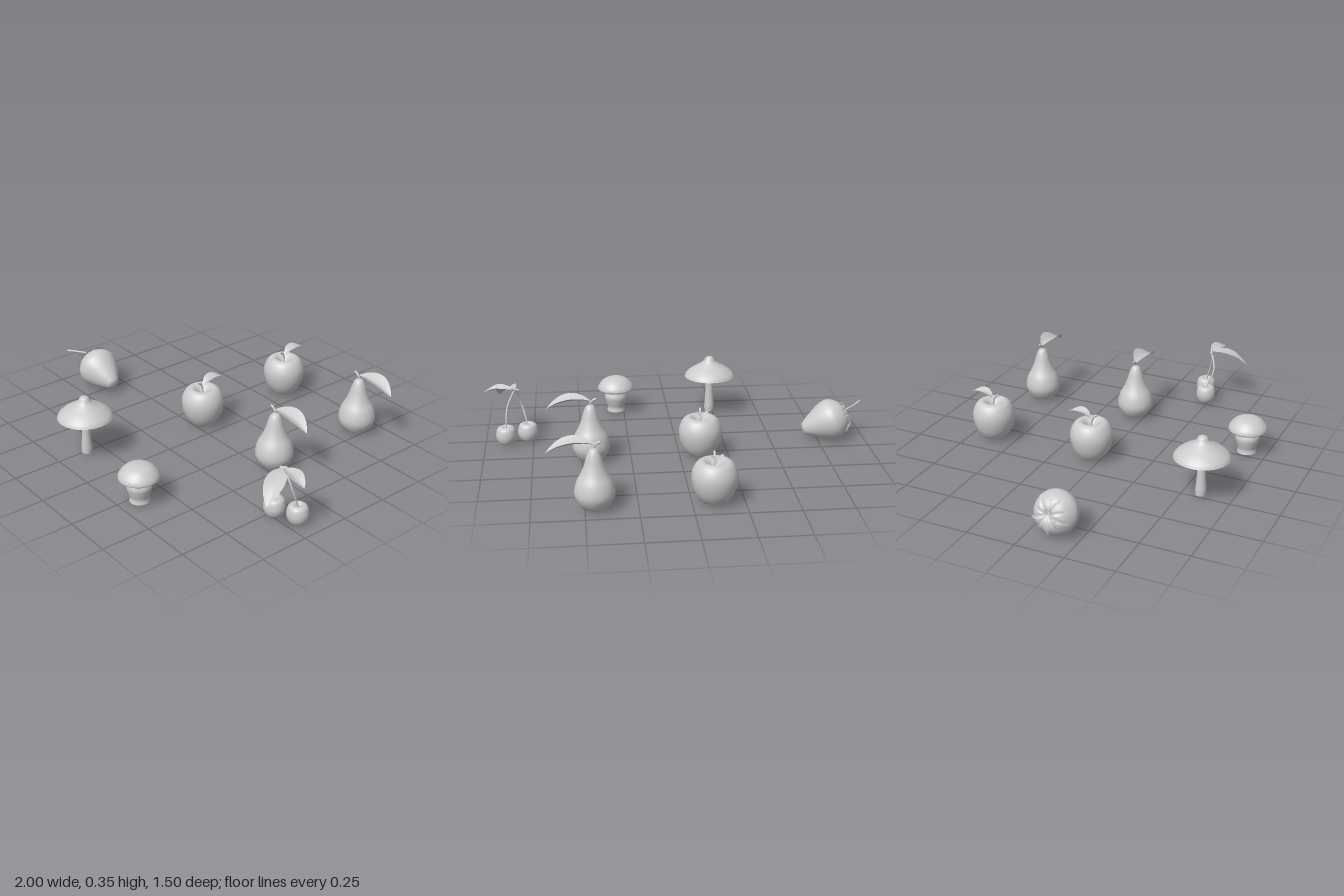
import * as THREE from 'three';

const material = new THREE.MeshStandardMaterial({ color: 0xcccccc, side: THREE.DoubleSide });
const vec = (p) => new THREE.Vector3(...p);
const curveOf = (points) => new THREE.CatmullRomCurve3(points.map(vec));

function add(parent, name, geometry) {
  const mesh = new THREE.Mesh(geometry, material);
  mesh.name = name;
  parent.add(mesh);
  return mesh;
}

function group(parent, name, x = 0, y = 0, z = 0) {
  const g = new THREE.Group();
  g.name = name;
  g.position.set(x, y, z);
  parent.add(g);
  return g;
}

// Smooth turned body from a few [radius, height] points, listed bottom to top.
// lobes > 0 presses five soft bumps into the underside.
function turned(profile, lobes = 0) {
  const spline = new THREE.SplineCurve(profile.map(([r, y]) => new THREE.Vector2(r, y)));
  const points = spline.getPoints(44);
  points.forEach((p) => { p.x = Math.max(p.x, 0); });
  const geometry = new THREE.LatheGeometry(points, 48);
  const pos = geometry.attributes.position;
  for (let i = 0; lobes && i < pos.count; i++) {
    const x = pos.getX(i), y = pos.getY(i), z = pos.getZ(i);
    const low = Math.max(0, 1 - y / 0.06) * Math.min(1, Math.hypot(x, z) / 0.03);
    pos.setY(i, y + lobes * low * (1 + Math.cos(5 * Math.atan2(x, z))));
  }
  return geometry;
}

// Round stalk whose radius runs from r0 to r1, closed by a small knob.
function stalk(parent, name, points, r0, r1) {
  const curve = curveOf(points), rings = 20, sides = 10;
  const geometry = new THREE.TubeGeometry(curve, rings, 1, sides);
  const pos = geometry.attributes.position, v = new THREE.Vector3();
  for (let i = 0; i < pos.count; i++) {
    const t = Math.floor(i / (sides + 1)) / rings;
    const c = curve.getPointAt(t);
    v.fromBufferAttribute(pos, i).sub(c).multiplyScalar(r0 + (r1 - r0) * t).add(c);
    pos.setXYZ(i, v.x, v.y, v.z);
  }
  add(parent, name, geometry);
  add(parent, name + 'End', new THREE.SphereGeometry(r1, 10, 8)).position.copy(vec(points.at(-1)));
}

// Pointed leaf folded in a V along its midrib.
function leaf(points, halfWidth, fold, upDir = [0, 1, 0]) {
  const curve = curveOf(points), up = vec(upDir), rows = 20, cols = 8;
  const side = vec(points.at(-1)).sub(vec(points[0])).cross(up).normalize();
  const geometry = new THREE.PlaneGeometry(1, 1, cols, rows);
  const pos = geometry.attributes.position;
  for (let j = 0, i = 0; j <= rows; j++) {
    const t = j / rows;
    const w = halfWidth * Math.pow(Math.sin(Math.PI * t), 0.8);
    for (let k = 0; k <= cols; k++, i++) {
      const s = (k / cols) * 2 - 1;
      const p = curve.getPointAt(t)
        .addScaledVector(side, s * w)
        .addScaledVector(up, fold * w * Math.pow(Math.abs(s), 1.3));
      pos.setXYZ(i, p.x, p.y, p.z);
    }
  }
  geometry.computeVertexNormals();
  return geometry;
}

function apple(root, z) {
  const g = group(root, 'apple', -0.105, 0, z);
  add(g, 'appleBody', turned([[0, 0.028], [0.018, 0.02], [0.04, 0.004], [0.066, 0.02], [0.095, 0.066],
    [0.109, 0.12], [0.106, 0.165], [0.085, 0.205], [0.055, 0.216], [0.025, 0.195], [0, 0.165]], 0.005));
  stalk(g, 'appleStem', [[0, 0.165, 0], [0, 0.205, 0], [0, 0.235, 0.01], [0, 0.25, 0.026]], 0.004, 0.006);
  add(g, 'appleLeaf', leaf([[0, 0.225, 0], [0, 0.247, -0.03], [0, 0.255, -0.075], [0, 0.245, -0.126]], 0.032, 0.45));
}

function pear(root, z) {
  const g = group(root, 'pear', 0.452, 0, z);
  add(g, 'pearBody', turned([[0, 0.022], [0.02, 0.014], [0.04, 0.003], [0.066, 0.02], [0.09, 0.06], [0.095, 0.095],
    [0.084, 0.14], [0.063, 0.18], [0.047, 0.22], [0.034, 0.265], [0.02, 0.295], [0, 0.303]], 0.004));
  stalk(g, 'pearStem', [[0, 0.295, 0], [-0.003, 0.312, 0], [-0.014, 0.325, 0], [-0.028, 0.332, 0]], 0.004, 0.006);
  add(g, 'pearLeaf', leaf([[-0.008, 0.318, 0], [0.03, 0.326, 0], [0.1, 0.326, 0], [0.165, 0.312, 0],
    [0.22, 0.287, 0]], 0.05, 0.5));
}

function mushroom(root, name, x, z, stem, cap, gills) {
  const g = group(root, name, x, 0, z);
  add(g, 'mushroomStem', turned(stem));
  const [r, y] = stem[0];
  add(g, 'stemBase', new THREE.CircleGeometry(r, 48).rotateX(Math.PI / 2)).position.y = y;
  add(g, 'mushroomCap', turned(cap));
  add(g, 'capUnderside', turned(gills));
}

function strawberry(root) {
  const g = group(root, 'strawberry', -0.9, 0.136, 0.123);
  g.rotation.z = -THREE.MathUtils.degToRad(109);
  add(g, 'strawberryBody', turned([[0, 0.012], [0.035, 0], [0.072, 0.014], [0.1, 0.05], [0.108, 0.085],
    [0.094, 0.13], [0.064, 0.185], [0.045, 0.215], [0.027, 0.237], [0, 0.244]]));
  // Ring of sepals draped over the shoulder
  for (let i = 0; i < 10; i++) {
    const sepal = add(g, 'sepal', leaf([[0.004, 0.006, 0], [0.03, -0.009, 0], [0.062, -0.004, 0],
      [0.088, 0.016, 0], [0.1, 0.026, 0]], 0.013, 0.3, [0, -1, 0]));
    sepal.rotation.y = (i / 10) * Math.PI * 2;
    sepal.scale.setScalar(i % 2 ? 0.88 : 1);
  }
  stalk(root, 'strawberryStem', [[-0.885, 0.135, 0.12], [-0.91, 0.161, 0.128], [-0.945, 0.166, 0.155],
    [-0.995, 0.173, 0.207]], 0.004, 0.006);
}

function cherries(root) {
  const g = group(root, 'cherries');
  const joint = [0.838, 0.292, 0.24];
  const body = turned([[0, 0.018], [0.02, 0.009], [0.042, 0.022], [0.053, 0.055], [0.046, 0.093],
    [0.027, 0.106], [0.01, 0.1], [0, 0.094]]);
  [[0.777, 0.237, [0.805, 0.2, 0.27]], [0.89, 0.196, [0.878, 0.2, 0.228]]].forEach(([x, z, bend]) => {
    add(g, 'cherryBody', body).position.set(x, 0, z);
    stalk(g, 'cherryStem', [[x, 0.094, z], bend, joint], 0.004, 0.006);
  });
  stalk(g, 'twig', [[0.85, 0.296, 0.236], joint, [0.82, 0.288, 0.245]], 0.007, 0.007);
  add(g, 'cherryLeaf', leaf([joint, [0.862, 0.286, 0.29], [0.897, 0.257, 0.36], [0.928, 0.205, 0.425]], 0.048, 0.35));
  add(g, 'cherryLeaf', leaf([joint, [0.88, 0.293, 0.248], [0.94, 0.292, 0.26], [0.998, 0.273, 0.268]], 0.038, 0.4));
}

export function createModel() {
  const root = new THREE.Group();
  root.name = 'fruitAndMushrooms';
  for (const z of [-0.622, -0.05]) apple(root, z);
  for (const z of [-0.627, -0.053]) pear(root, z);
  mushroom(root, 'tallMushroom', -0.232, 0.595,
    [[0.026, 0.012], [0.027, 0.04], [0.023, 0.1], [0.02, 0.16], [0.022, 0.235]],
    [[0.139, 0.216], [0.128, 0.234], [0.1, 0.257], [0.066, 0.277], [0.036, 0.298], [0.02, 0.322], [0, 0.329]],
    [[0.139, 0.216], [0.08, 0.223], [0, 0.238]]);
  mushroom(root, 'shortMushroom', 0.292, 0.648,
    [[0.05, 0.012], [0.047, 0.035], [0.056, 0.065], [0.062, 0.095], [0.053, 0.125], [0.045, 0.155]],
    [[0.092, 0.134], [0.1, 0.143], [0.092, 0.165], [0.066, 0.192], [0.035, 0.205], [0, 0.209]],
    [[0.092, 0.134], [0.085, 0.141], [0.06, 0.149], [0, 0.152]]);
  strawberry(root);
  cherries(root);
  return root;
}
